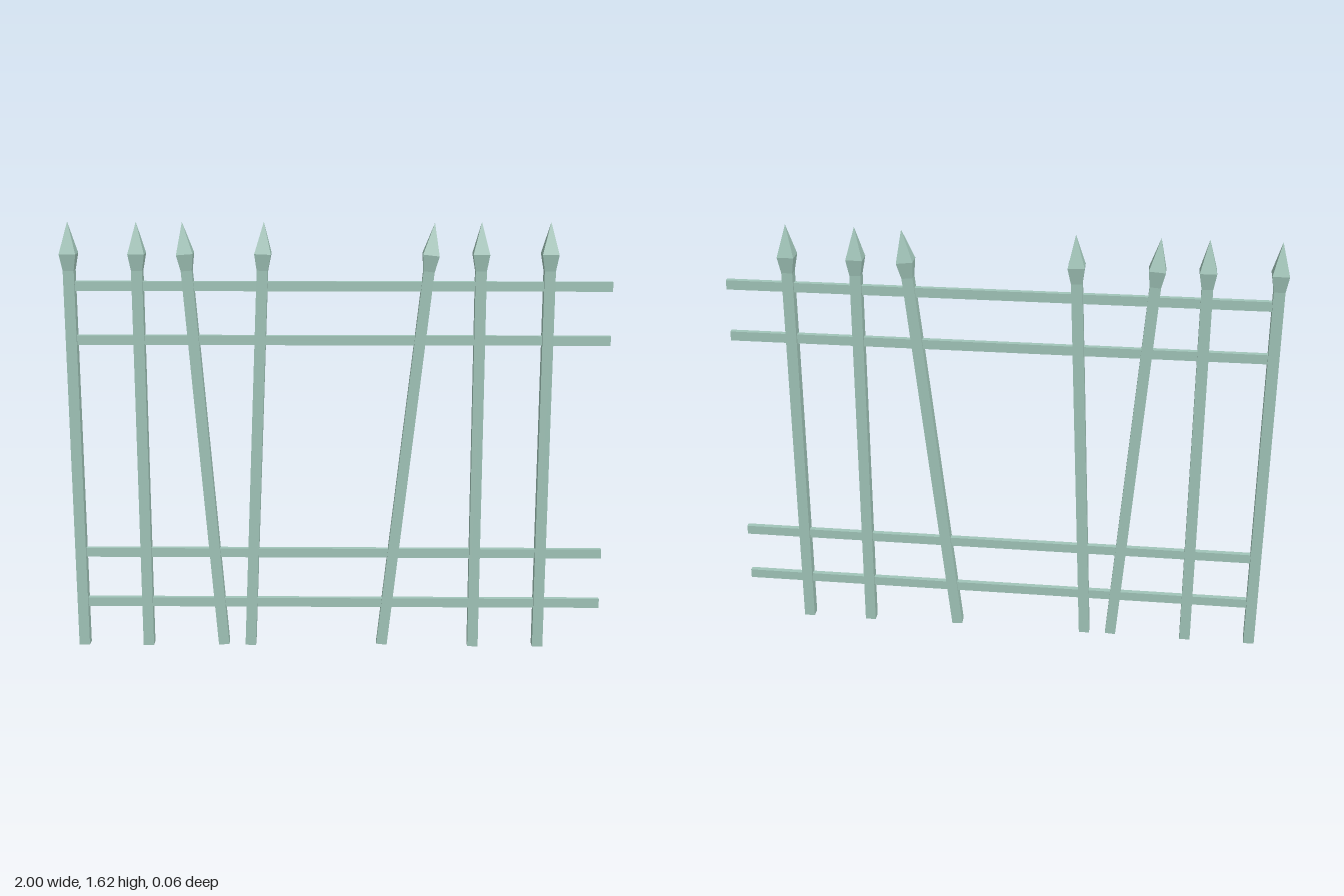
import * as THREE from 'three';

const material = new THREE.MeshStandardMaterial({ color: 0xa0c4b8, flatShading: true });

// Four-sided tapered bar with faces square to x and z; half-widths at top and bottom
function squareBar(name, topHalf, bottomHalf, y0, y1, openEnded) {
  const geometry = new THREE.CylinderGeometry(
    topHalf * Math.SQRT2, bottomHalf * Math.SQRT2, y1 - y0, 4, 1, openEnded, Math.PI / 4);
  geometry.translate(0, (y0 + y1) / 2, 0);
  const mesh = new THREE.Mesh(geometry, material);
  mesh.name = name;
  return mesh;
}

// Picket with a spear-shaped finial, standing at its foot and leaning in the x direction
function createPicket(footX, footY, tipX) {
  const picket = new THREE.Group();
  picket.name = 'picket';
  picket.add(
    squareBar('shaft', 0.02, 0.02, 0, 1.44, false),
    squareBar('spearBase', 0.03, 0.02, 1.44, 1.5, true),
    squareBar('spearPoint', 0, 0.03, 1.5, 1.615, true),
  );
  picket.position.set(footX, footY, 0);
  picket.rotation.z = -Math.asin((tipX - footX) / 1.615);
  return picket;
}

export function createModel() {
  const fence = new THREE.Group();
  fence.name = 'brokenFence';

  // Pickets: foot x, foot y, tip x
  const pickets = [
    [-0.97, 0, -0.97], [-0.723, 0, -0.723],
    [-0.433, 0.004, -0.557], [-0.331, 0.002, -0.262], [0.171, 0.007, 0.352],
    [0.52, 0, 0.52], [0.768, 0, 0.768],
  ];
  for (const p of pickets) fence.add(createPicket(...p));

  // Horizontal rails, running past the last picket on one end
  const railGeometry = new THREE.BoxGeometry(1.97, 0.035, 0.02);
  for (const y of [0.172, 0.37, 1.185, 1.383]) {
    const rail = new THREE.Mesh(railGeometry, material);
    rail.name = 'rail';
    rail.position.set(0.013, y, 0);
    fence.add(rail);
  }
  return fence;
}
